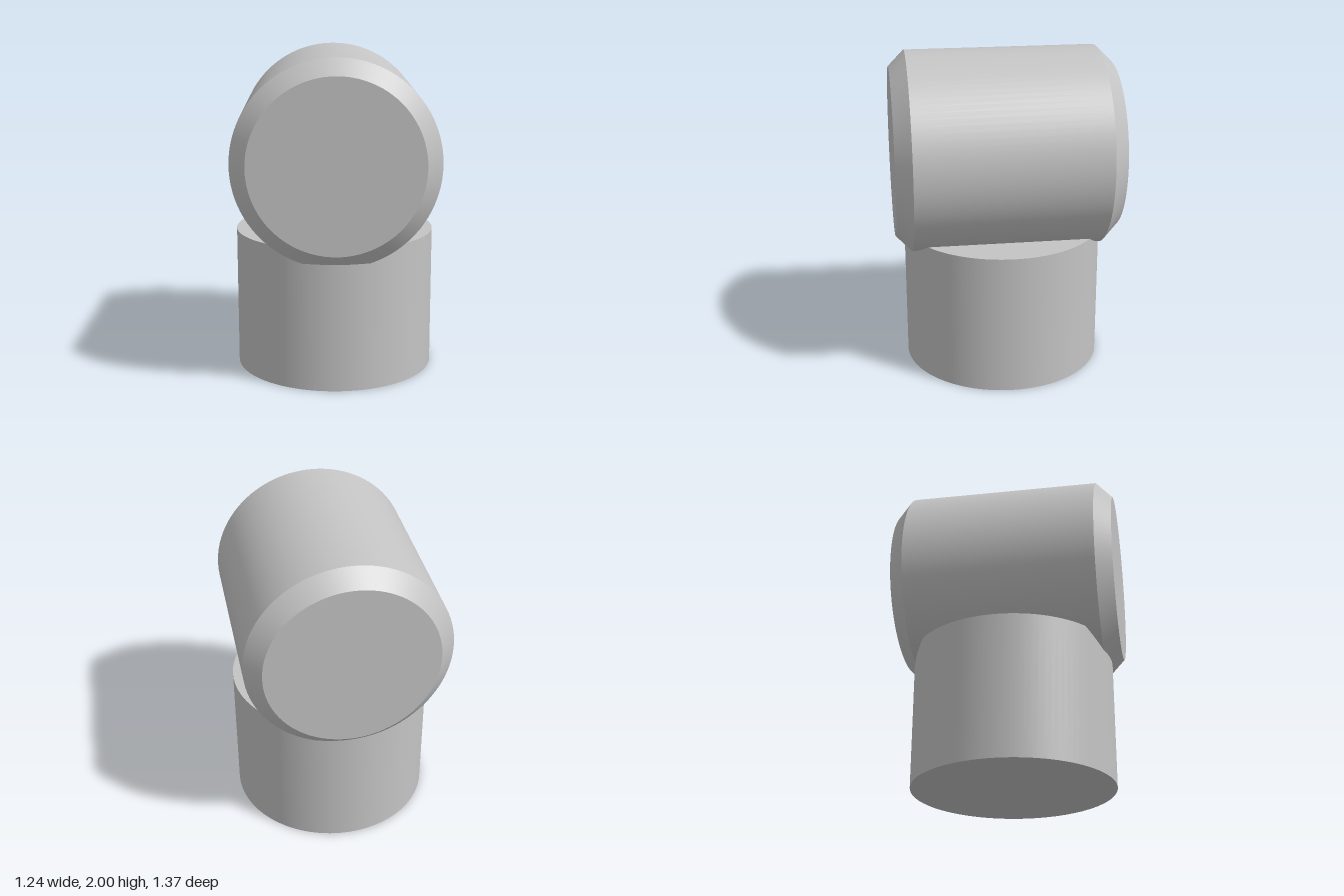
import * as THREE from 'three';
import { toCreasedNormals } from 'three/addons/utils/BufferGeometryUtils.js';

const RADIUS = 0.622;
const HALF_LENGTH = 0.686;
const CHAMFER = 0.098;
const SEGMENTS = 96;

export function createModel() {
  const model = new THREE.Group();
  model.name = 'crossedCylinders';
  const grey = new THREE.MeshStandardMaterial({ color: 0xc4c4c4 });
  grey.name = 'plain grey';

  // Upright post with a flat top
  const post = new THREE.Mesh(new THREE.CylinderGeometry(RADIUS, RADIUS, 0.88, SEGMENTS), grey);
  post.name = 'post';
  post.position.y = 0.44;
  model.add(post);

  // Horizontal barrel with chamfered ends, sunk into the post
  const profile = [
    [0, -HALF_LENGTH],
    [RADIUS - CHAMFER, -HALF_LENGTH],
    [RADIUS, -HALF_LENGTH + CHAMFER],
    [RADIUS, HALF_LENGTH - CHAMFER],
    [RADIUS - CHAMFER, HALF_LENGTH],
    [0, HALF_LENGTH],
  ].map(([r, y]) => new THREE.Vector2(r, y));
  const barrel = new THREE.Mesh(toCreasedNormals(new THREE.LatheGeometry(profile, SEGMENTS), 0.5), grey);
  barrel.name = 'barrel';
  barrel.rotation.x = Math.PI / 2;
  barrel.position.y = 2 - RADIUS;
  model.add(barrel);

  return model;
}
